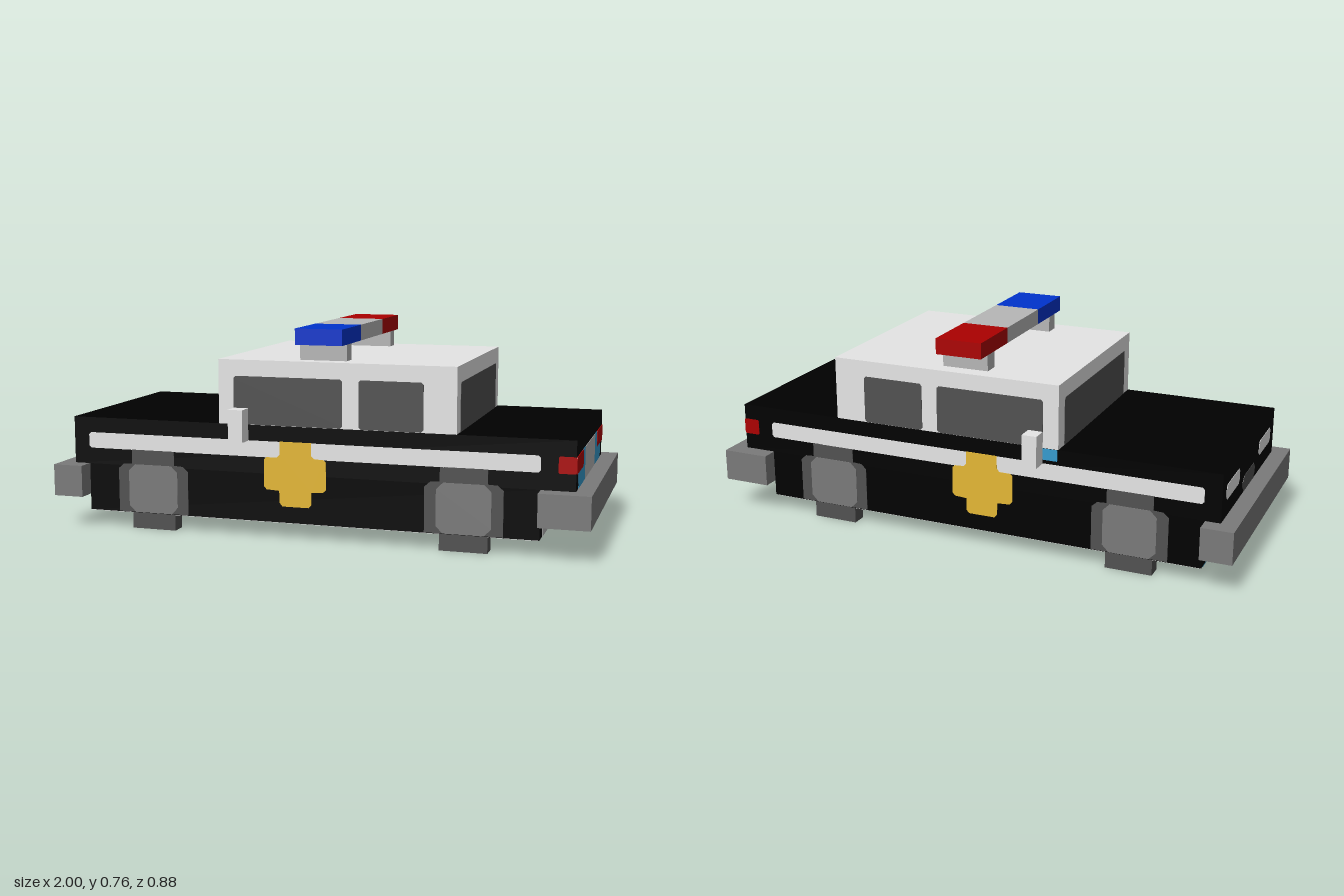
import * as THREE from 'three';

const paint = (name, color) => {
  const m = new THREE.MeshStandardMaterial({ color });
  m.name = name;
  return m;
};

export function createModel() {
  const car = new THREE.Group();
  car.name = 'patrolCar';
  const black = paint('black', 0x000000), white = paint('white', 0xe5e5e5);
  const grey = paint('lightGrey', 0xb6b6b6), steel = paint('bumperGrey', 0x7a7a7a);
  const dark = paint('darkGrey', 0x515151), gold = paint('gold', 0xe4b735);
  const red = paint('red', 0xab0000), blue = paint('blue', 0x0033cc), sky = paint('lightBlue', 0x359bcd);

  const add = (name, geo, mat) => {
    const mesh = new THREE.Mesh(geo, mat);
    mesh.name = name;
    car.add(mesh);
    return mesh;
  };
  // Box given by its limits on each axis
  const box = (name, mat, x0, x1, y0, y1, z0, z1) =>
    add(name, new THREE.BoxGeometry(x1 - x0, y1 - y0, z1 - z0), mat)
      .position.set((x0 + x1) / 2, (y0 + y1) / 2, (z0 + z1) / 2);

  // Outline with small chamfered corners
  const rect = (a0, a1, y0, y1, c = 0.012) => new THREE.Shape([
    [a0 + c, y0], [a1 - c, y0], [a1, y0 + c], [a1, y1 - c],
    [a1 - c, y1], [a0 + c, y1], [a0, y1 - c], [a0, y0 + c],
  ].map(p => new THREE.Vector2(...p)));
  const poly = pts => new THREE.Shape(pts.map(p => new THREE.Vector2(...p)));
  const thin = (shape, t) => new THREE.ExtrudeGeometry(shape, { depth: t, bevelEnabled: false }).translate(0, 0, -t / 2);

  // Thin painted plates on both flanks, and on one end (shape drawn in z, y)
  const W = 0.381;
  const flanks = (name, mat, shape, t = 0.003) => {
    for (const s of [1, -1]) add(name, thin(shape, t), mat).position.z = s * W;
  };
  const end = (name, mat, x, shape, t = 0.003) => {
    const m = add(name, thin(shape, t), mat);
    m.rotation.y = -Math.PI / 2;
    m.position.x = x;
  };

  // Body, floor and cabin
  box('upperBody', black, -0.94, 0.94, 0.237, 0.413, -W, W);
  box('lowerBody', black, -0.88, 0.82, 0.06, 0.237, -W, W);
  box('floor', white, -0.879, 0.819, 0.058, 0.061, -0.379, 0.379);
  box('cabin', white, -0.353, 0.528, 0.413, 0.648, -W, W);

  // Windows
  flanks('frontSideWindow', dark, rect(-0.295, 0.115, 0.414, 0.589, 0.008));
  flanks('rearSideWindow', dark, rect(0.175, 0.41, 0.414, 0.589, 0.008));
  for (const [name, x] of [['windshield', -0.353], ['rearWindow', 0.528]])
    end(name, dark, x, rect(-0.323, 0.323, 0.413, 0.588, 0.006));

  // Light bar on two posts
  box('lightBarBlue', blue, -0.06, 0.115, 0.707, 0.765, 0.148, W);
  box('lightBarCentre', grey, -0.06, 0.115, 0.707, 0.765, -0.148, 0.148);
  box('lightBarRed', red, -0.06, 0.115, 0.707, 0.765, -W, -0.148);
  for (const s of [1, -1]) {
    const z = s * 0.294;
    box('lightBarPost', grey, -0.06, 0.115, 0.648, 0.707, z - 0.029, z + 0.029);
    // Wing mirrors
    const m = s * 0.411;
    box('wingMirror', white, -0.295, -0.24, 0.355, 0.473, m - 0.03, m + 0.03);
  }
  box('mirrorPatch', sky, -0.35, -0.295, 0.37, 0.412, -0.383, -0.378);

  // Bumpers
  box('frontBumper', steel, -1, -0.885, 0.118, 0.236, -0.44, 0.44);
  box('rearBumper', steel, 0.82, 1, 0.118, 0.236, -0.44, 0.44);

  // Flank stripe, badge and wrapped tail lights
  flanks('sideStripe', white, rect(-0.88, 0.82, 0.297, 0.356, 0.008));
  flanks('doorBadge', gold, poly([
    [-0.11, 0.12], [-0.01, 0.12], [0, 0.132], [0, 0.177], [0.045, 0.18], [0.055, 0.19], [0.055, 0.29],
    [0.045, 0.298], [0.01, 0.3], [0, 0.31], [0, 0.357], [-0.12, 0.357], [-0.12, 0.31], [-0.13, 0.298],
    [-0.17, 0.298], [-0.18, 0.29], [-0.18, 0.19], [-0.17, 0.18], [-0.122, 0.177], [-0.12, 0.132],
  ]), 0.006);
  flanks('sideTailLight', red, rect(0.88, 0.941, 0.297, 0.356, 0.004));

  // Wheels: painted tyre and hub on the flank, tread block below
  for (const x of [-0.62, 0.555]) {
    flanks('tyre', dark, poly([
      [x - 0.14, 0.062], [x + 0.14, 0.062], [x + 0.14, 0.225], [x + 0.12, 0.243], [x + 0.085, 0.245],
      [x + 0.085, 0.298], [x - 0.085, 0.298], [x - 0.085, 0.245], [x - 0.12, 0.243], [x - 0.14, 0.225],
    ]));
    flanks('hub', steel, rect(x - 0.098, x + 0.098, 0.062, 0.243, 0.025), 0.006);
    for (const s of [1, -1])
      box('tread', dark, x - 0.086, x + 0.086, 0, 0.06, s * 0.352 - 0.029, s * 0.352 + 0.029);
  }

  // Tail panel
  end('tailPanel', grey, 0.94, rect(-0.148, 0.148, 0.238, 0.355, 0));
  end('lowerTailPanel', grey, 0.82, rect(-0.323, 0.323, 0.06, 0.12, 0));
  for (const s of [1, -1]) {
    const span = (a, b, y0, y1, c) => rect(Math.min(s * a, s * b), Math.max(s * a, s * b), y0, y1, c);
    end('tailPanelSide', sky, 0.94, span(0.148, 0.323, 0.238, 0.355, 0));
    end('tailLight', red, 0.94, span(0.207, 0.381, 0.296, 0.355, 0.004), 0.006);
    // Headlights
    end('headlight', white, -0.94, span(0.145, 0.325, 0.298, 0.355));
    box('underPatch', sky, -0.88, -0.82, 0.056, 0.06, s * 0.32 - 0.04, s * 0.32 + 0.04);
  }
  end('grille', dark, -0.94, rect(-0.09, 0.09, 0.239, 0.298, 0.02));

  return car;
}
